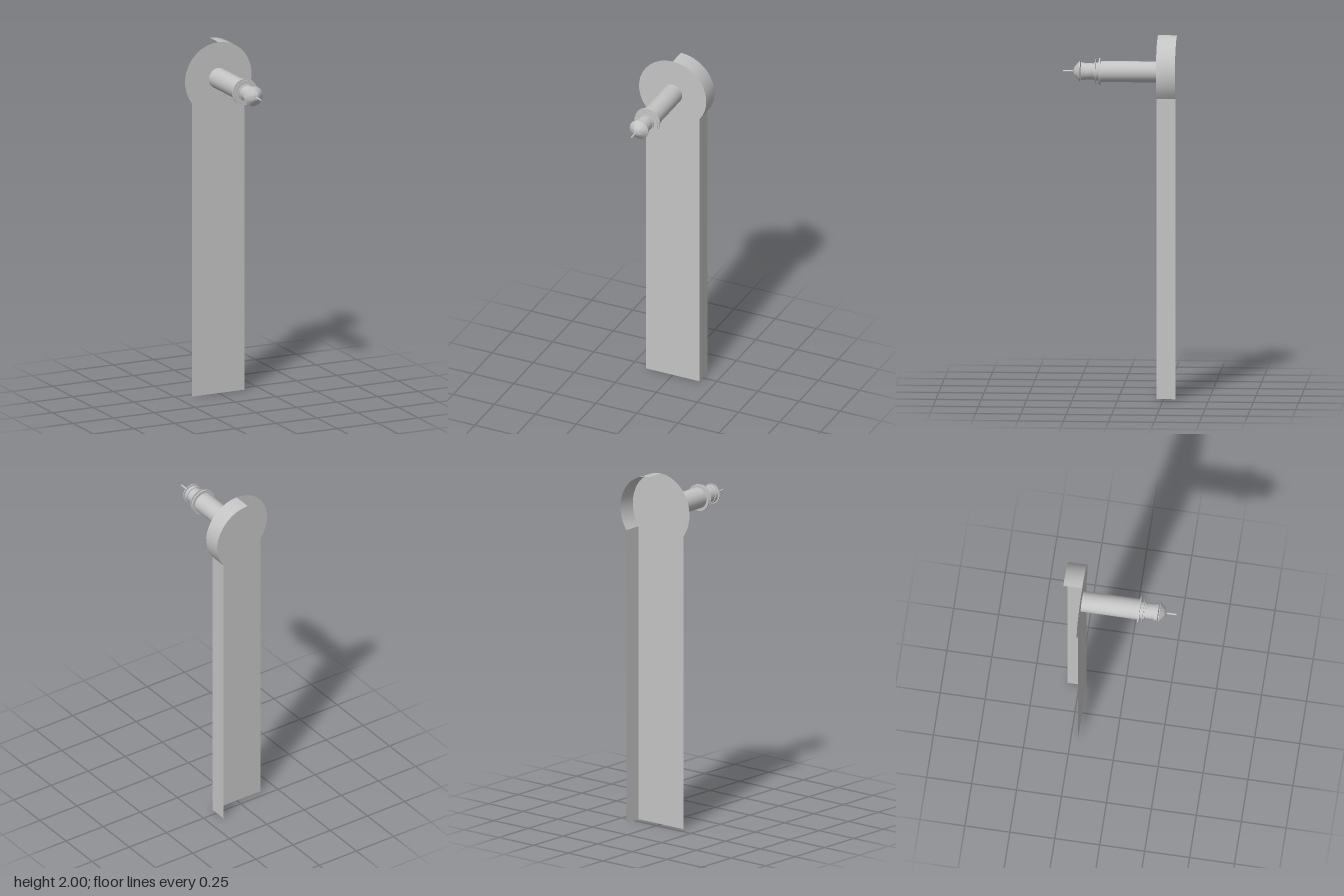
import * as THREE from 'three';
import { toCreasedNormals } from 'three/addons/utils/BufferGeometryUtils.js';

const HUB_Y = 1.796, HUB_R = 0.205, HALF_W = 0.162;
const FRONT_Z = -0.21, BACK_Z = -0.315;

export function createModel() {
  const model = new THREE.Group();
  model.name = 'wallPost';
  const grey = new THREE.MeshStandardMaterial({ color: 0xc4c4c4, side: THREE.DoubleSide });
  grey.name = 'light grey';

  const add = (name, geometry) => {
    const mesh = new THREE.Mesh(geometry, grey);
    mesh.name = name;
    model.add(mesh);
    return mesh;
  };

  // Outline of the right half, from the top of the round head down to the foot
  const neckAngle = -Math.acos(HALF_W / HUB_R);
  const half = [];
  const steps = 12;
  for (let i = 0; i <= steps; i++) {
    const a = THREE.MathUtils.lerp(Math.PI / 2, neckAngle, i / steps);
    half.push(new THREE.Vector2(HUB_R * Math.cos(a), HUB_Y + HUB_R * Math.sin(a)));
  }
  half.push(new THREE.Vector2(HALF_W, 0));

  // Thin face plate: the half outline plus its mirror image
  const mirrored = half.slice(1).reverse().map(p => new THREE.Vector2(-p.x, p.y));
  const plate = new THREE.ShapeGeometry(new THREE.Shape([...half, ...mirrored]));
  add('facePlate', plate).position.z = FRONT_Z;

  // Side wall running back along one half of the outline, open behind and below
  const positions = [], index = [];
  half.forEach((p, i) => {
    positions.push(p.x, p.y, FRONT_Z, p.x, p.y, BACK_Z);
    if (i > 0) {
      const a = 2 * (i - 1), b = 2 * i;
      index.push(a, a + 1, b, a + 1, b + 1, b);
    }
  });
  const wall = new THREE.BufferGeometry();
  wall.setAttribute('position', new THREE.Float32BufferAttribute(positions, 3));
  wall.setIndex(index);
  // Make the surface face outward (away from the hub)
  for (let i = 0; i < index.length; i += 3) [index[i + 1], index[i + 2]] = [index[i + 2], index[i + 1]];
  wall.setIndex(index);
  wall.computeVertexNormals();
  if (wall.attributes.normal.getY(0) < 0) {
    for (let i = 0; i < index.length; i += 3) [index[i + 1], index[i + 2]] = [index[i + 2], index[i + 1]];
    wall.setIndex(index);
  }
  add('sideWall', toCreasedNormals(wall, 0.5));

  // Turned parts along the spout axis; each profile is [radius, z] from back to front
  const turned = (name, profile, sides) => {
    const points = profile.map(([r, z]) => new THREE.Vector2(r, z));
    const geometry = new THREE.LatheGeometry(points, sides).rotateX(Math.PI / 2);
    add(name, toCreasedNormals(geometry, 0.6)).position.y = HUB_Y;
  };
  const disc = (name, r, z0, z1, sides = 24) =>
    turned(name, [[0, z0], [r, z0], [r, z1], [0, z1]], sides);

  disc('spoutTube', 0.058, FRONT_Z, 0.107, 32);
  disc('flange', 0.075, 0.107, 0.115, 32);
  disc('rearCollar', 0.05, 0.115, 0.142, 16);
  disc('thinWasher', 0.07, 0.131, 0.134);
  disc('neck', 0.045, 0.142, 0.194, 16);
  disc('frontCollar', 0.05, 0.194, 0.214, 16);
  turned('domeCap', [
    [0, 0.219], [0.057, 0.219], [0.057, 0.223], [0.047, 0.231],
    [0.037, 0.24], [0.022, 0.252], [0.009, 0.258], [0, 0.259],
  ], 16);
  disc('tipPin', 0.005, 0.255, 0.315, 10);

  return model;
}
